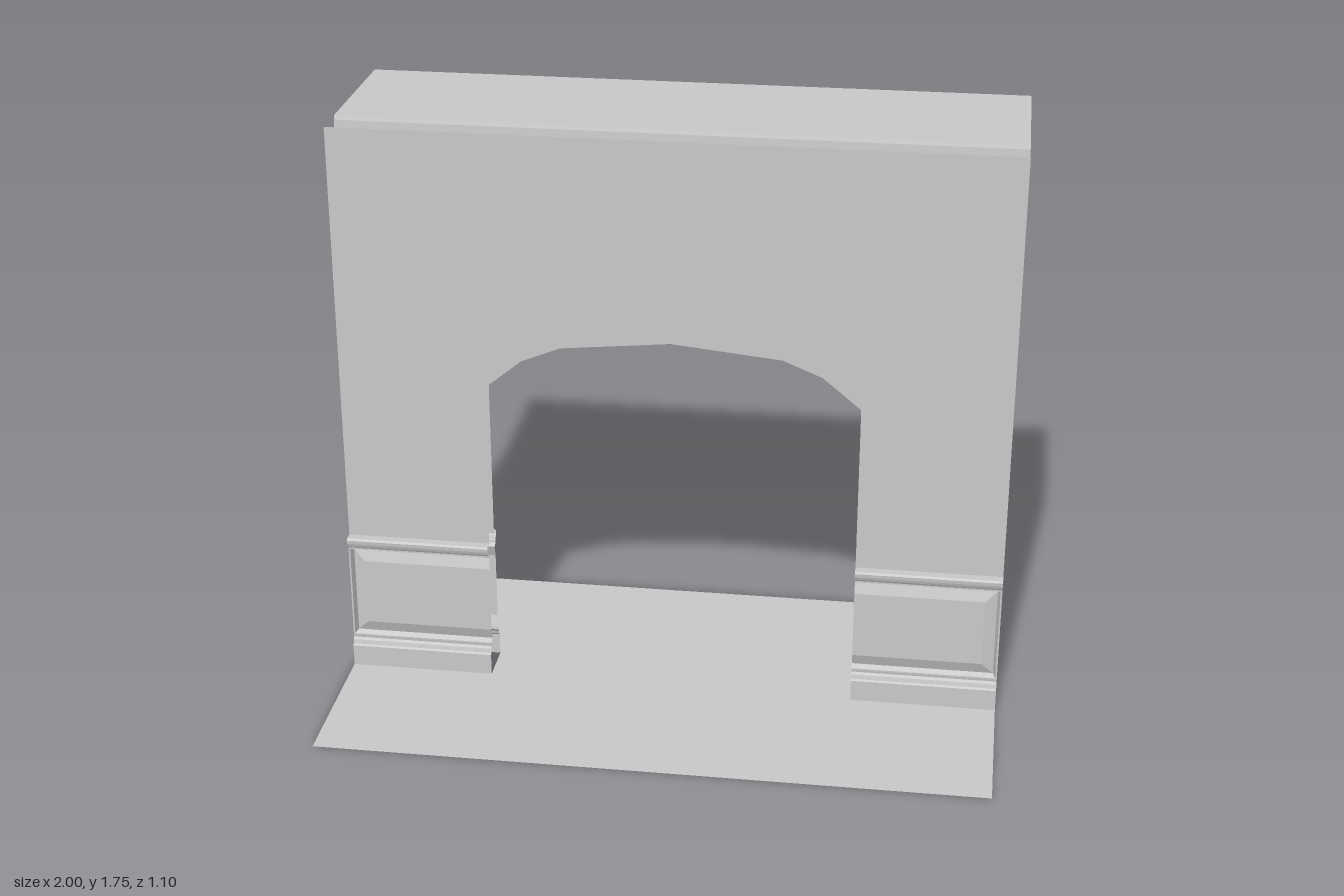
import * as THREE from 'three';

const HALF = 1, JAMB = 0.56, HEIGHT = 1.75, DEPTH = 0.55;
const WALL_Z = 0.034, SKIRT_Z = 0.066;
const material = new THREE.MeshStandardMaterial({ color: 0xcccccc, side: THREE.DoubleSide });

function part(name, geometry) {
  const mesh = new THREE.Mesh(geometry, material);
  mesh.name = name;
  return mesh;
}

// Flat-shaded surface from a list of four-cornered faces
function quads(faces) {
  const positions = faces.flatMap(([a, b, c, d]) => [a, b, c, a, c, d].flat());
  const geometry = new THREE.BufferGeometry();
  geometry.setAttribute('position', new THREE.Float32BufferAttribute(positions, 3));
  geometry.computeVertexNormals();
  return geometry;
}

// Moulding: a [y, z] profile run straight along x
function moulding(profile, x0, x1) {
  return quads(profile.slice(1).map(([y1, z1], i) => {
    const [y0, z0] = profile[i];
    return [[x0, y0, z0], [x1, y0, z0], [x1, y1, z1], [x0, y1, z1]];
  }));
}

// Raised panel, mitred at its outer end and cut square at the archway
function raisedPanel(side) {
  const rings = [[0, 0.053], [0.005, 0.053], [0.013, 0.036], [0.048, 0.047]].map(([inset, z]) => [
    [JAMB, 0.099 + inset], [HALF - inset, 0.099 + inset],
    [HALF - inset, 0.407 - inset], [JAMB, 0.407 - inset],
  ].map(([x, y]) => [side * x, y, z]));
  const faces = [rings[rings.length - 1]];
  for (let r = 0; r < rings.length - 1; r++) {
    for (let k = 0; k < 3; k++) {
      faces.push([rings[r][k], rings[r][k + 1], rings[r + 1][k + 1], rings[r + 1][k]]);
    }
  }
  return quads(side > 0 ? faces : faces.map((f) => [...f].reverse()));
}

// Wall sheet above the wainscot, with the faceted arch cut out
function archedWall(top) {
  const arch = [[0.56, 0.96], [0.445, 1.055], [0.328, 1.103]];
  const outline = [
    [JAMB, 0.442], [HALF, 0.442], [HALF, top], [-HALF, top], [-HALF, 0.442], [-JAMB, 0.442],
    ...arch.map(([x, y]) => [-x, y]), [0, 1.136], ...[...arch].reverse(),
  ];
  const shape = new THREE.Shape(outline.map(([x, y]) => new THREE.Vector2(x, y)));
  return new THREE.ShapeGeometry(shape).translate(0, 0, WALL_Z);
}

const SKIRTING = [[0, SKIRT_Z], [0.067, SKIRT_Z], [0.072, 0.061], [0.085, 0.058], [0.092, 0.052], [0.099, 0.053]];
const RAIL = [[0.407, 0.053], [0.413, 0.056], [0.423, 0.059], [0.426, 0.066], [0.437, 0.067], [0.442, 0.061], [0.442, WALL_Z]];
const CORNICE = [[1.62, WALL_Z], [1.62, 0.04], [1.636, 0.042], [1.645, 0.05], [1.672, 0.053],
  [1.69, 0.06], [1.705, 0.063], [1.715, 0.071], [1.738, 0.073], [1.75, 0.077]];

// One face of the wall: arched sheet plus wainscot on either side of the opening
function wallFace(name, top) {
  const group = new THREE.Group();
  group.name = name;
  group.add(part('archedWall', archedWall(top)));
  for (const side of [-1, 1]) {
    const x0 = side < 0 ? -HALF : JAMB;
    const x1 = side < 0 ? -JAMB : HALF;
    group.add(
      part('skirting', moulding(SKIRTING, x0, x1)),
      part('raisedPanel', raisedPanel(side)),
      part('chairRail', moulding(RAIL, x0, x1)),
    );
  }
  return group;
}

export function createModel() {
  const model = new THREE.Group();
  model.name = 'archwayWall';

  // Front face runs plain to the top; back face carries the cornice
  const front = wallFace('frontFace', HEIGHT);
  const back = wallFace('backFace', 1.62);
  back.add(part('cornice', moulding(CORNICE, -HALF, HALF)));
  back.rotation.y = Math.PI;
  model.add(front, back);

  // Floor, notched where the wall stands
  const outline = [
    [-HALF, -DEPTH], [HALF, -DEPTH], [HALF, -SKIRT_Z], [JAMB, -SKIRT_Z], [JAMB, SKIRT_Z], [HALF, SKIRT_Z],
    [HALF, DEPTH], [-HALF, DEPTH], [-HALF, SKIRT_Z], [-JAMB, SKIRT_Z], [-JAMB, -SKIRT_Z], [-HALF, -SKIRT_Z],
  ];
  const floorShape = new THREE.Shape(outline.map(([x, z]) => new THREE.Vector2(x, z)));
  model.add(part('floor', new THREE.ShapeGeometry(floorShape).rotateX(-Math.PI / 2)));

  // Ceiling over the back room only
  const inner = 0.077;
  const ceiling = new THREE.PlaneGeometry(2 * HALF, DEPTH - inner).rotateX(Math.PI / 2);
  ceiling.translate(0, HEIGHT, -(DEPTH + inner) / 2);
  model.add(part('ceiling', ceiling));
  return model;
}
